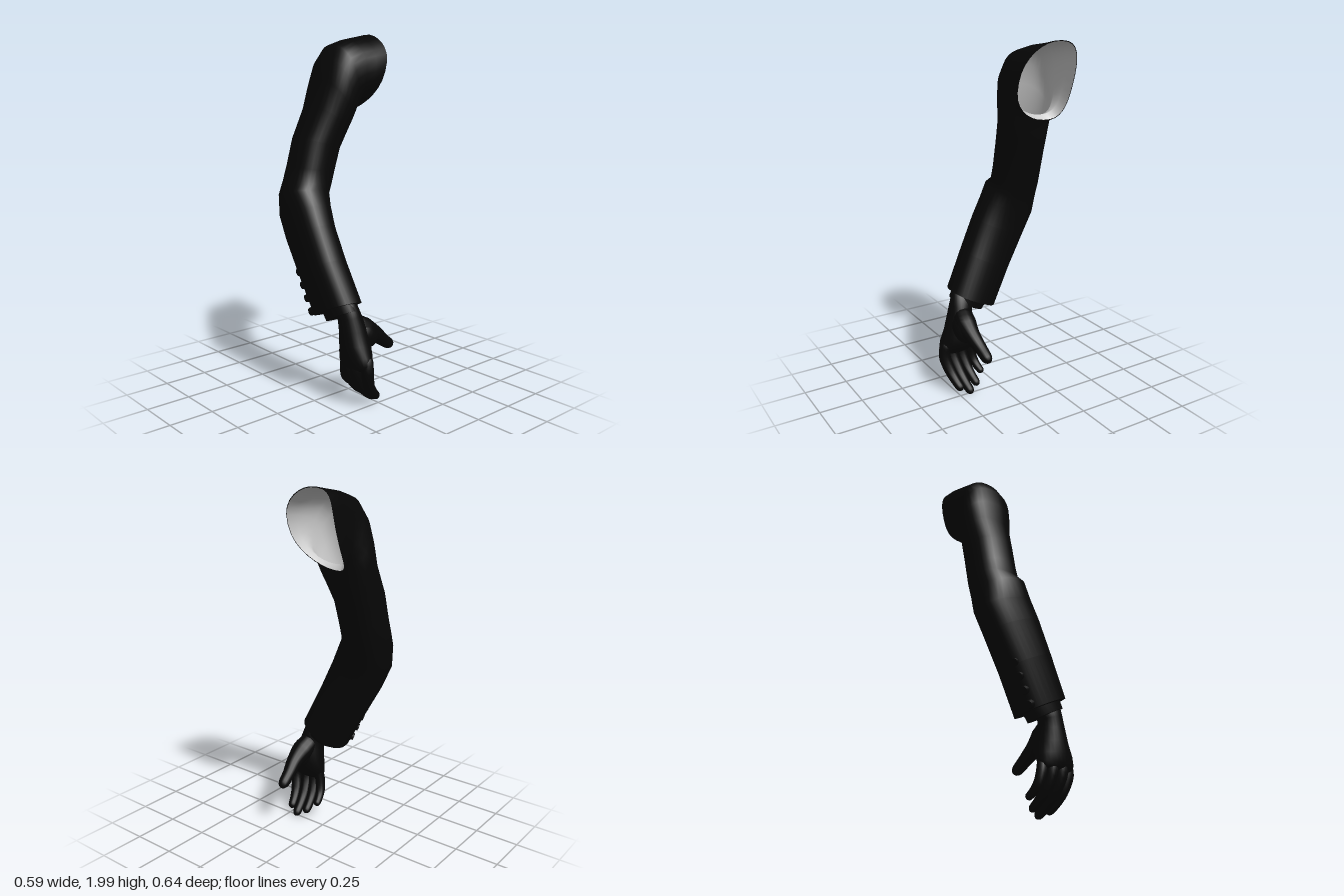
import * as THREE from 'three';

const V = (x, y, z) => new THREE.Vector3(x, y, z);
const black = new THREE.MeshStandardMaterial({ color: 0x060606, side: THREE.DoubleSide });
const grey = new THREE.MeshStandardMaterial({ color: 0xcccccc, side: THREE.DoubleSide });

// Skin a list of rings: centre c, half-axes u and v, bow shifts the two v ends
function loft(rings, sides, square = 1) {
  const pos = [], index = [];
  const soft = (t) => Math.sign(t) * Math.pow(Math.abs(t), square);
  rings.forEach(({ c, u, v, bow }) => {
    for (let j = 0; j < sides; j++) {
      const a = (j / sides) * Math.PI * 2;
      const p = c.clone().addScaledVector(u, soft(Math.cos(a))).addScaledVector(v, soft(Math.sin(a)));
      if (bow) p.addScaledVector(bow, Math.sin(a) ** 2);
      pos.push(p.x, p.y, p.z);
    }
  });
  for (let i = 0; i < rings.length - 1; i++) {
    for (let j = 0; j < sides; j++) {
      const a = i * sides + j, b = i * sides + (j + 1) % sides;
      index.push(a, b, a + sides, b, b + sides, a + sides);
    }
  }
  const g = new THREE.BufferGeometry();
  g.setAttribute('position', new THREE.Float32BufferAttribute(pos, 3));
  g.setIndex(index);
  g.computeVertexNormals();
  return g;
}

// Ring from its outer (ox, oy) and inner (ix, iy) ends plus its depth axis
function ring([ox, oy, ix, iy, z, vz, vy = 0, vx = 0, bowX = 0, bowZ = 0]) {
  return {
    c: V((ox + ix) / 2, (oy + iy) / 2, z),
    u: V((ix - ox) / 2, (iy - oy) / 2, 0),
    v: V(vx, vy, vz),
    bow: V(bowX, 0, bowZ),
  };
}

const shrink = (r, s) => ({ ...r, u: r.u.clone().multiplyScalar(s), v: r.v.clone().multiplyScalar(s) });

// Tapered digit, rounded at both ends, along a smooth path
function digit(points, radii) {
  const curve = new THREE.CatmullRomCurve3(points.map((p) => V(...p)));
  const n = 24, rings = [];
  for (let i = 0; i <= n; i++) {
    const t = (1 - Math.cos((Math.PI * i) / n)) / 2;
    const k = t * (radii.length - 1), j = Math.min(Math.floor(k), radii.length - 2);
    const e = Math.max(0, (t - 0.9) / 0.1, (0.12 - t) / 0.12);
    const r = THREE.MathUtils.lerp(radii[j], radii[j + 1], k - j) * Math.sqrt(1 - Math.min(1, e * e));
    const tangent = curve.getTangent(t);
    const u = tangent.clone().cross(V(0, 0, 1)).normalize();
    const v = tangent.clone().cross(u);
    rings.push({ c: curve.getPoint(t), u: u.multiplyScalar(r), v: v.multiplyScalar(r) });
  }
  return loft(rings, 14);
}

export function createModel() {
  const model = new THREE.Group();
  const add = (name, geometry, material = black) => {
    const m = new THREE.Mesh(geometry, material);
    m.name = name;
    model.add(m);
    return m;
  };

  // Sleeve, from the open armhole over the elbow to the cuff
  const sleeve = [
    [0.293, 2.0, 0.148, 1.578, -0.192, 0.161, 0.01, -0.01, 0.032, 0.062],
    [0.21, 1.985, 0.128, 1.605, -0.185, 0.156, 0, -0.005, 0.015, 0.054],
    [0.12, 1.97, 0.118, 1.6, -0.165, 0.149, 0, 0, 0, 0.035],
    [0.01, 1.938, 0.112, 1.575, -0.15, 0.153, 0, 0, 0, 0.01],
    [-0.043, 1.865, 0.1, 1.545, -0.15, 0.16],
    [-0.078, 1.75, 0.09, 1.51, -0.16, 0.157],
    [-0.12, 1.61, 0.077, 1.46, -0.172, 0.142],
    [-0.195, 1.44, 0.048, 1.375, -0.188, 0.131],
    [-0.235, 1.29, 0.012, 1.25, -0.192, 0.129],
    [-0.26, 1.21, -0.008, 1.18, -0.193, 0.13],
    [-0.295, 1.155, -0.035, 1.11, -0.183, 0.137, 0.035],
    [-0.296, 1.05, -0.055, 1.04, -0.162, 0.153, 0.05],
    [-0.295, 0.94, -0.068, 0.92, -0.108, 0.148, 0.063],
    [-0.287, 0.76, -0.06, 0.74, -0.017, 0.138, 0.065],
    [-0.267, 0.545, -0.042, 0.53, 0.09, 0.134, 0.064],
  ].map(ring);
  const hem = sleeve[sleeve.length - 1];
  const inset = sleeve.map((r) => shrink(r, 0.98));
  add('sleeve', loft([inset[0], ...sleeve, shrink(hem, 0.97), shrink(hem, 0.6)], 32, 0.86));

  // Lining: a slightly smaller skin turned to face inward
  add('sleeveLining', loft(inset.map((r) => ({ ...r, v: r.v.clone().negate() })), 32, 0.86), grey);

  // Shirt cuff showing below the hem
  const cuff = [
    [-0.235, 0.58, -0.07, 0.57, 0.085, 0.105, 0.052],
    [-0.23, 0.51, -0.074, 0.5, 0.125, 0.098, 0.05],
  ].map(ring);
  add('shirtCuff', loft([...cuff, shrink(cuff[1], 0.95), shrink(cuff[1], 0.01)], 24));

  // Buttons up the back of the cuff
  const along = V(0.025, -0.56, 0.26).normalize();
  const outward = V(-0.5, -0.4, -0.76).normalize();
  for (let i = 0; i < 4; i++) {
    const b = add('cuffButton' + (i + 1), new THREE.CylinderGeometry(0.02, 0.028, 0.03, 16));
    b.position.copy(hem.c).addScaledVector(outward, 0.146).addScaledVector(along, -0.035 - i * 0.075);
    b.quaternion.setFromUnitVectors(V(0, 1, 0), outward);
  }

  // Palm, thin across x and broad across z
  const palm = [
    [-0.2, 0.57, -0.09, 0.57, 0.14, 0.07, 0.02],
    [-0.2, 0.5, -0.07, 0.5, 0.168, 0.064, 0.02],
    [-0.2, 0.44, -0.045, 0.43, 0.18, 0.075, 0.01],
    [-0.2, 0.37, -0.035, 0.35, 0.19, 0.09],
    [-0.196, 0.31, -0.045, 0.3, 0.2, 0.106],
    [-0.188, 0.265, -0.068, 0.265, 0.203, 0.108],
    [-0.176, 0.24, -0.085, 0.24, 0.204, 0.098],
    [-0.16, 0.228, -0.1, 0.228, 0.204, 0.075],
  ].map(ring);
  add('palm', loft([shrink(palm[0], 0.01), ...palm, shrink(palm[7], 0.01)], 28));

  // Curled fingers: knuckle x, base z, tip z, tip x, tip y, thickness
  [
    ['indexFinger', -0.115, 0.288, 0.24, 0.002, 0.04, 0.032],
    ['middleFinger', -0.142, 0.228, 0.188, 0.025, 0.015, 0.033],
    ['ringFinger', -0.14, 0.17, 0.134, 0, 0.04, 0.031],
    ['littleFinger', -0.125, 0.117, 0.082, -0.04, 0.09, 0.027],
  ].forEach(([name, kx, z0, z1, x, y, r]) => {
    const at = (t, out) => [
      THREE.MathUtils.lerp(kx, x, t) - out,
      THREE.MathUtils.lerp(0.225, y, t) - out,
      THREE.MathUtils.lerp(z0, z1, t),
    ];
    add(name, digit([
      [kx + 0.008, 0.32, z0 - (z0 - 0.2) * 0.15], at(0, 0), at(0.38, 0.018), at(0.7, 0.014), at(1, 0),
    ], [r, r * 1.08, r, r * 0.85, r * 0.72]));
  });

  // Thumb reaching inward, with the fleshy base that joins it to the palm
  add('thumb', digit([
    [-0.14, 0.48, 0.17], [-0.045, 0.425, 0.185], [0.03, 0.38, 0.185],
    [0.1, 0.328, 0.172], [0.18, 0.274, 0.162],
  ], [0.055, 0.062, 0.046, 0.036, 0.03]));
  const base = add('thumbBase', new THREE.SphereGeometry(1, 24, 16));
  base.scale.set(0.092, 0.07, 0.06);
  base.position.set(-0.055, 0.4, 0.196);
  base.rotation.z = -0.7;

  return model;
}
